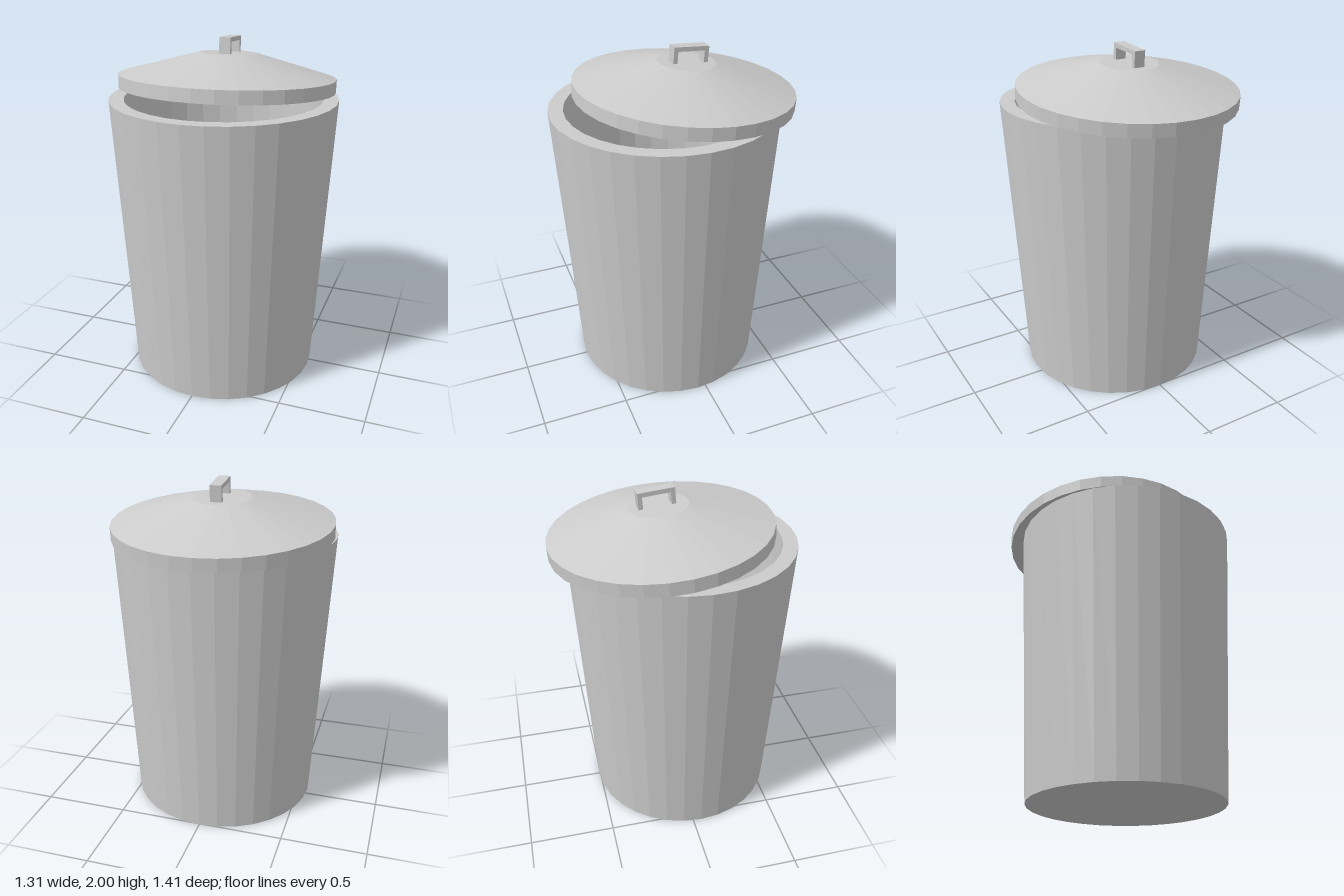
import * as THREE from 'three';

const material = new THREE.MeshStandardMaterial({ color: 0xcccccc, flatShading: true });

// Faceted solid of revolution from [radius, height] pairs, listed from the bottom outwards
function turned(name, profile) {
  const points = profile.map(([r, y]) => new THREE.Vector2(r, y));
  const geometry = new THREE.LatheGeometry(points, 32).toNonIndexed();
  geometry.computeVertexNormals();
  const mesh = new THREE.Mesh(geometry, material);
  mesh.name = name;
  return mesh;
}

export function createModel() {
  const model = new THREE.Group();
  model.name = 'trashCan';

  // Tapered hollow body with a flat rim
  const body = turned('body', [
    [0, 0], [0.558, 0], [0.655, 1.672], [0.57, 1.672], [0.55, 0.15], [0, 0.15],
  ]);
  body.position.z = 0.05;
  model.add(body);

  // Lid: conical shell with a lip, resting tilted and pushed back
  const lid = new THREE.Group();
  lid.name = 'lid';
  lid.position.set(-0.022, 1.695, -0.07);
  lid.rotation.set(-0.083, 0.04, 0);
  lid.add(turned('lidShell', [
    [0, 0.17], [0.15, 0.17], [0.55, 0.05], [0.55, 0], [0.633, 0],
    [0.633, 0.075], [0.168, 0.204], [0, 0.204],
  ]));

  // Handle: a squared arch running front to back
  const arch = new THREE.Shape();
  [[-0.105, 0], [-0.08, 0], [-0.08, 0.069], [0.08, 0.069], [0.08, 0], [0.105, 0],
    [0.105, 0.094], [-0.105, 0.094]].forEach(([x, y], i) => (i ? arch.lineTo(x, y) : arch.moveTo(x, y)));
  const archGeometry = new THREE.ExtrudeGeometry(arch, { depth: 0.066, bevelEnabled: false });
  archGeometry.translate(0, 0, -0.033).rotateY(Math.PI / 2);
  const handle = new THREE.Mesh(archGeometry, material);
  handle.name = 'lidHandle';
  handle.position.set(0.008, 0.203, -0.008);
  lid.add(handle);

  model.add(lid);
  return model;
}
